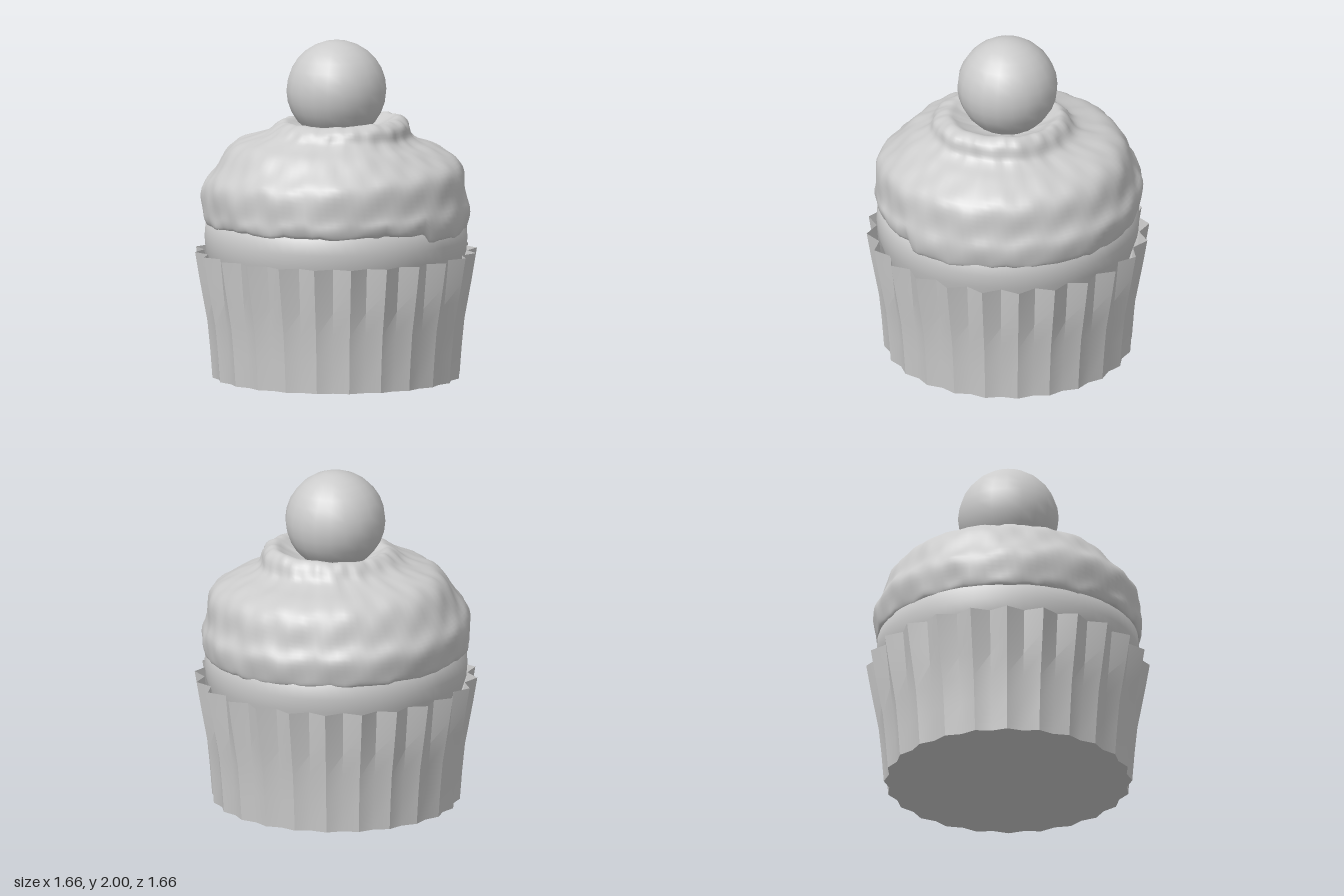
import * as THREE from 'three';
import { mergeVertices, toCreasedNormals } from 'three/addons/utils/BufferGeometryUtils.js';

const PLEATS = 24;
const grey = new THREE.MeshStandardMaterial({ color: 0xcccccc });
const greyDouble = new THREE.MeshStandardMaterial({ color: 0xcccccc, side: THREE.DoubleSide });

// Wrapper profile: height, radius at pleat tips, radius in the folds
const wrapperRows = [
  [0, 0.732, 0.706], [0.18, 0.746, 0.718], [0.34, 0.762, 0.732],
  [0.48, 0.788, 0.748], [0.6, 0.81, 0.76], [0.75, 0.835, 0.775],
];

function part(name, geometry, material) {
  const mesh = new THREE.Mesh(geometry, material);
  mesh.name = name;
  return mesh;
}

// Apply a rule to every vertex
function deform(geometry, rule) {
  const pos = geometry.attributes.position;
  const v = new THREE.Vector3();
  for (let i = 0; i < pos.count; i++) {
    v.fromBufferAttribute(pos, i);
    rule(v);
    pos.setXYZ(i, v.x, v.y, v.z);
  }
  return geometry;
}

// Weld the seam and rebuild smooth normals
function smooth(geometry) {
  geometry.deleteAttribute('uv');
  geometry.deleteAttribute('normal');
  const welded = mergeVertices(geometry, 1e-4);
  welded.computeVertexNormals();
  return welded;
}

function pleatRadius(angle, [, tip, fold]) {
  return THREE.MathUtils.lerp(tip, fold, (1 + Math.cos(angle * PLEATS)) / 2);
}

function wrapperWall() {
  const rows = wrapperRows.length - 1;
  const geo = new THREE.CylinderGeometry(1, 1, 1, PLEATS * 2, rows, true);
  deform(geo, (v) => {
    const row = wrapperRows[Math.round((v.y + 0.5) * rows)];
    const angle = Math.atan2(v.x, v.z);
    const r = pleatRadius(angle, row);
    v.set(Math.sin(angle) * r, row[0], Math.cos(angle) * r);
  });
  return toCreasedNormals(geo, THREE.MathUtils.degToRad(35));
}

function wrapperBase() {
  const geo = new THREE.CircleGeometry(1, PLEATS * 2).rotateX(Math.PI / 2);
  return deform(geo, (v) => {
    v.multiplyScalar(pleatRadius(Math.atan2(v.x, v.z), wrapperRows[0]));
  });
}

// Soft lumps, periodic around the axis
function lumps(a, y) {
  return 0.45 * Math.sin(5 * a + 9 * y) + 0.35 * Math.sin(11 * a - 17 * y + 1.3)
    + 0.3 * Math.sin(19 * a + 31 * y + 0.6) + 0.2 * Math.sin(31 * a - 23 * y);
}

function frosting() {
  const outline = [
    [0.69, 0.93], [0.755, 0.905], [0.78, 0.94], [0.788, 1.03], [0.77, 1.13], [0.735, 1.23],
    [0.67, 1.315], [0.59, 1.375], [0.5, 1.41], [0.435, 1.445], [0.39, 1.505],
    [0.33, 1.535], [0.26, 1.5], [0.15, 1.46], [0, 1.45],
  ].map(([x, y]) => new THREE.Vector2(x, y));
  const profile = new THREE.SplineCurve(outline).getPoints(56);
  profile[profile.length - 1].x = 0;
  const geo = new THREE.LatheGeometry(profile, 110);
  deform(geo, (v) => {
    const r = Math.hypot(v.x, v.z);
    if (r < 1e-4) return;
    const a = Math.atan2(v.z, v.x);
    const y = v.y;
    const lip = 1 - THREE.MathUtils.smoothstep(y, 0.9, 1.08);
    const crown = THREE.MathUtils.smoothstep(y, 1.38, 1.5);
    // Spiral ridges left by the piping
    const swirl = Math.sin(a + y * 22);
    const grow = 0.01 * swirl * (1 - lip) + 0.009 * lumps(a, y);
    const k = (r + grow * Math.min(1, r / 0.3)) / r;
    v.x = v.x * k + 0.035 * crown;
    v.z *= k;
    v.y += 0.012 * swirl * (1 - lip) * (r > 0.3 ? 1 : r / 0.3) + 0.006 * lumps(a + 1, y);
    // Ragged lower lip, with the swirl starting as a drop on the left side
    const turn = a < 0 ? -a / (Math.PI * 2) : 1 - a / (Math.PI * 2);
    v.y += lip * (0.02 - 0.06 * Math.pow(1 - turn, 2) + 0.009 * lumps(a * 2, 0.4));
  });
  return smooth(geo);
}

function cake() {
  const outline = [[0.69, 0.5], [0.735, 0.65], [0.768, 0.75], [0.775, 0.83], [0.768, 0.92], [0.72, 0.96]];
  return smooth(new THREE.LatheGeometry(outline.map(([x, y]) => new THREE.Vector2(x, y)), 64));
}

// Slightly uneven ball
function cherry() {
  const geo = new THREE.SphereGeometry(0.295, 20, 14);
  deform(geo, (v) => {
    const s = 1 + 0.012 * Math.sin(v.x * 14 + 1) * Math.cos(v.z * 12) * (1 - Math.abs(v.y) / 0.295);
    v.x *= s;
    v.z *= s;
  });
  return smooth(geo);
}

export function createModel() {
  const model = new THREE.Group();
  model.name = 'cupcake';

  const wrapper = new THREE.Group();
  wrapper.name = 'wrapper';
  wrapper.add(
    part('wrapperWall', wrapperWall(), greyDouble),
    part('wrapperBase', wrapperBase(), greyDouble),
  );

  const ball = part('cherry', cherry(), grey);
  ball.position.set(0.005, 1.705, 0);

  model.add(wrapper, part('cake', cake(), greyDouble), part('frosting', frosting(), greyDouble), ball);
  return model;
}
